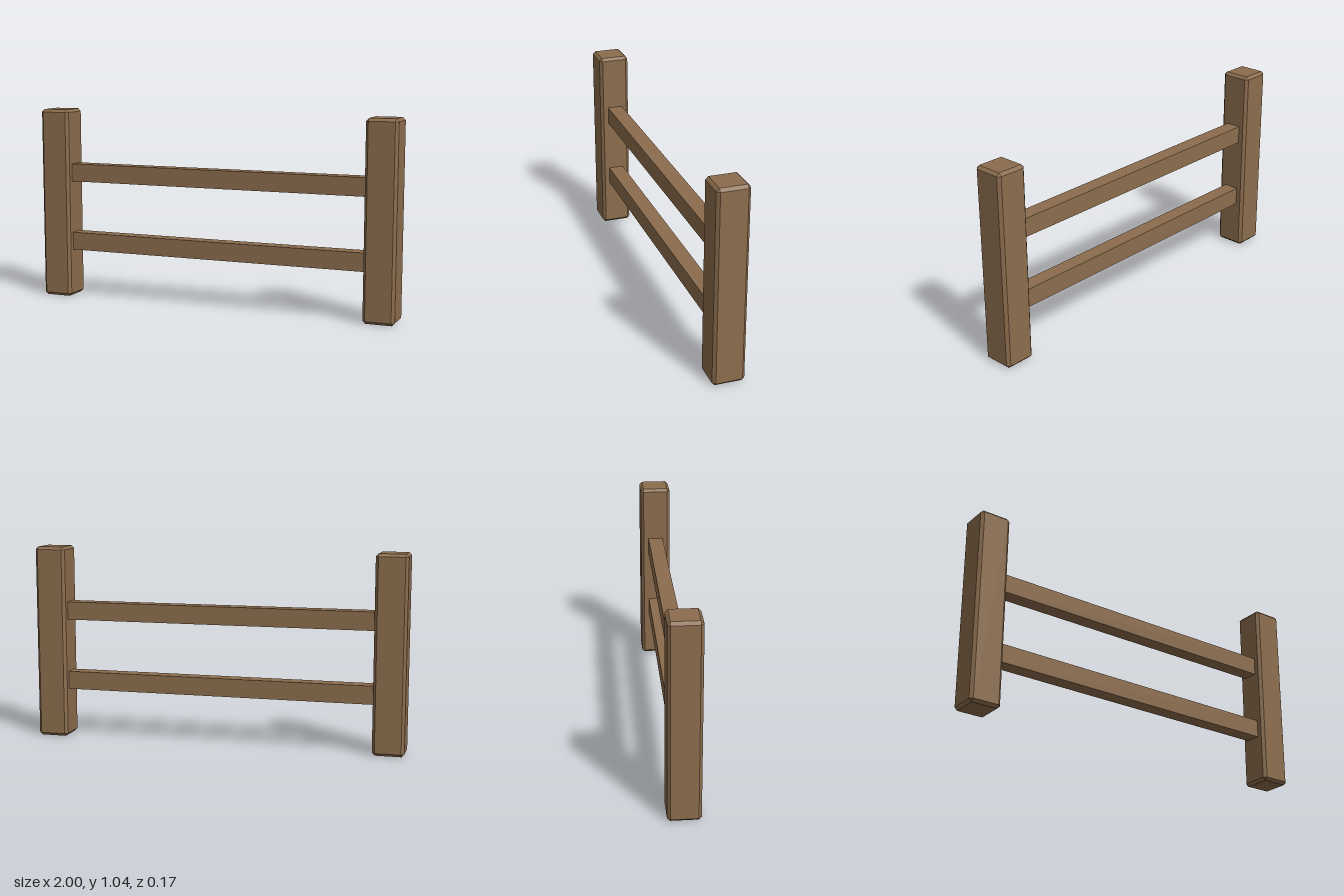
import * as THREE from 'three';
import { ConvexGeometry } from 'three/addons/geometries/ConvexGeometry.js';

// Box with flat chamfers on every edge and cut corners
function chamferedBox(w, h, d, c) {
  const points = [];
  for (const sx of [-1, 1]) for (const sy of [-1, 1]) for (const sz of [-1, 1]) {
    const x = w / 2, y = h / 2, z = d / 2;
    points.push(
      new THREE.Vector3(sx * x, sy * (y - c), sz * (z - c)),
      new THREE.Vector3(sx * (x - c), sy * y, sz * (z - c)),
      new THREE.Vector3(sx * (x - c), sy * (y - c), sz * z)
    );
  }
  return new ConvexGeometry(points);
}

export function createModel() {
  const group = new THREE.Group();
  group.name = 'fence';
  const wood = new THREE.MeshStandardMaterial({ color: 0x8c6d4d });
  wood.name = 'wood';

  // Two chamfered posts
  const postSize = 0.166, postHeight = 1.037;
  const postGeometry = chamferedBox(postSize, postHeight, postSize, 0.015);
  for (const [name, side] of [['leftPost', 1], ['rightPost', -1]]) {
    const post = new THREE.Mesh(postGeometry, wood);
    post.name = name;
    post.position.set(side * (1 - postSize / 2), postHeight / 2, 0);
    group.add(post);
  }

  // Two square-edged rails between the posts
  const railGeometry = new THREE.BoxGeometry(1.67, 0.097, 0.082);
  for (const [name, y] of [['lowerRail', 0.308], ['upperRail', 0.69]]) {
    const rail = new THREE.Mesh(railGeometry, wood);
    rail.name = name;
    rail.position.y = y;
    group.add(rail);
  }
  return group;
}
